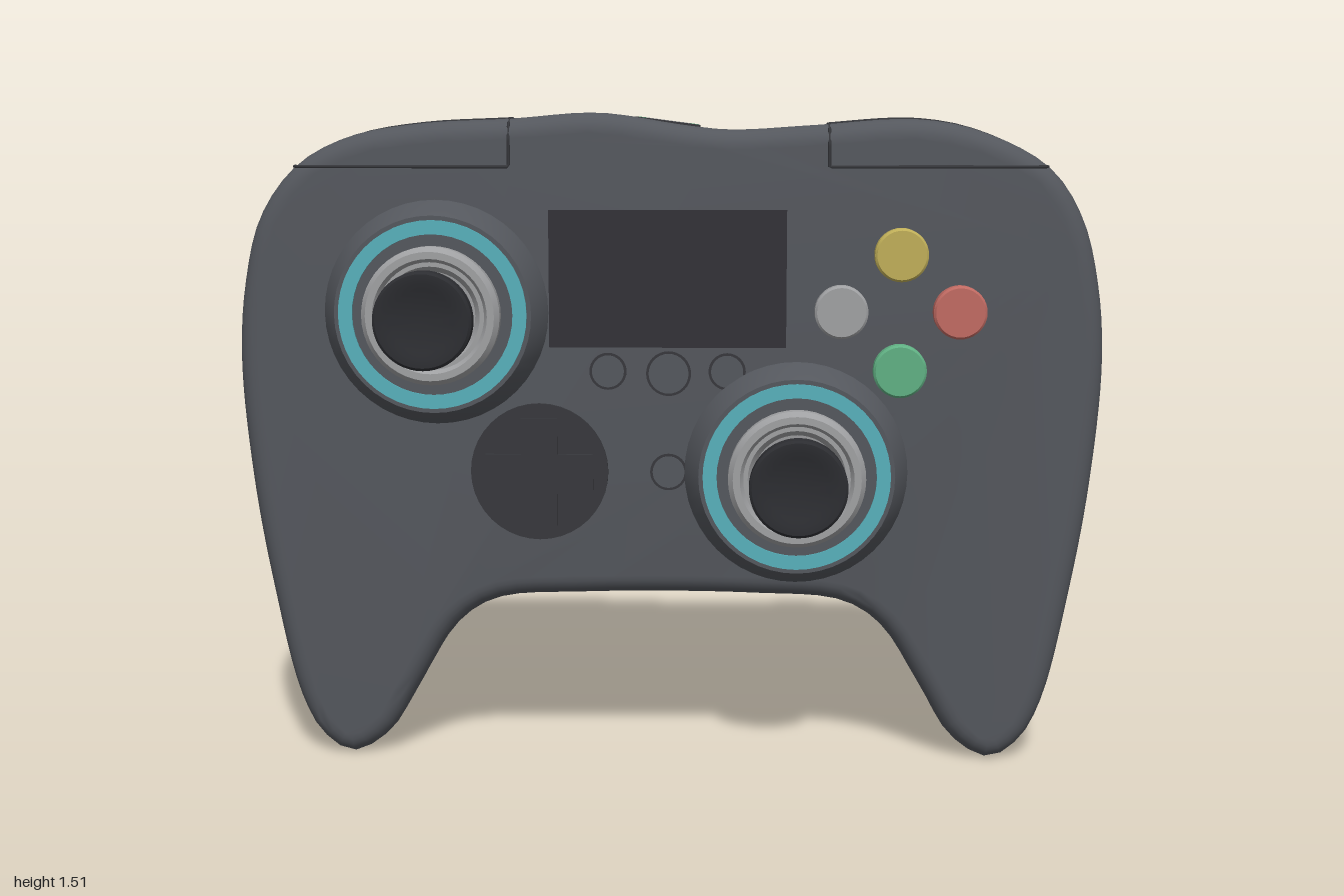
import * as THREE from 'three';
import { toCreasedNormals } from 'three/addons/utils/BufferGeometryUtils.js';

const mat = (name, color) => Object.assign(new THREE.MeshStandardMaterial({ color }), { name });

export function createModel() {
  const M = {
    body: mat('body grey', 0x54575d),
    dark: mat('dark pad', 0x37383c),
    screen: mat('screen', 0x333237),
    cap: mat('cap black', 0x2c2d31),
    grey: mat('light grey', 0x9fa0a2),
    teal: mat('teal', 0x57b0ba),
    yellow: mat('yellow', 0xbfae58),
    red: mat('red', 0xc06a62),
    green: mat('green', 0x60b083),
  };
  const model = new THREE.Group();
  model.name = 'gamepad';
  const add = (name, geo, material, x = 0, y = 0, z = 0, parent = model) => {
    const m = new THREE.Mesh(geo, material);
    m.name = name;
    m.position.set(x, y, z);
    parent.add(m);
    return m;
  };
  // round part whose axis runs along z, starting at its base
  const disc = (r, h, seg = 40) => new THREE.CylinderGeometry(r, r, h, seg).rotateX(Math.PI / 2).translate(0, 0, h / 2);
  const lathe = (pts, seg = 48) => toCreasedNormals(
    new THREE.LatheGeometry(pts.map(p => new THREE.Vector2(...p)), seg).rotateX(Math.PI / 2), 0.5);

  // ---- Body outline: wavy top edge, mirrored sides and handles
  const top = [[0.87, 1.39], [0.72, 1.47], [0.57, 1.5], [0.33, 1.487], [0.14, 1.477], [0.03, 1.488],
    [-0.16, 1.515], [-0.36, 1.502], [-0.58, 1.49], [-0.74, 1.46], [-0.86, 1.395]];
  const side = [[-0.945, 1.28], [-0.985, 1.13], [-1, 0.95], [-0.98, 0.67], [-0.94, 0.41], [-0.88, 0.14], [-0.83, 0.045],
    [-0.76, 0.001], [-0.67, 0.05], [-0.59, 0.18], [-0.5, 0.32], [-0.41, 0.378], [-0.2, 0.395]];
  const mirrored = side.map(([x, y]) => [-x, y]).reverse();
  const outline = new THREE.CatmullRomCurve3(
    [...top, ...side, ...mirrored].map(([x, y]) => new THREE.Vector3(x, y, 0)), true)
    .getSpacedPoints(160).slice(0, -1).map(p => new THREE.Vector2(p.x, p.y));

  const bevel = 0.045;
  const bodyGeo = new THREE.ExtrudeGeometry(new THREE.Shape(outline), {
    depth: 0.375 - 2 * bevel, bevelThickness: bevel, bevelSize: bevel, bevelOffset: -bevel, bevelSegments: 6,
  });
  add('body', toCreasedNormals(bodyGeo, 0.6), M.body, 0, 0, -0.16 + bevel);

  const inside = (x, y) => {
    let hit = false;
    outline.forEach((a, i) => {
      const b = outline[(i + 1) % outline.length];
      if ((a.y > y) !== (b.y > y) && x < (b.x - a.x) * (y - a.y) / (b.y - a.y) + a.x) hit = !hit;
    });
    return hit;
  };
  const topY = x => {
    let lo = 1.1, hi = 1.6;
    for (let i = 0; i < 20; i++) {
      const mid = (lo + hi) / 2;
      if (inside(x, mid)) lo = mid; else hi = mid;
    }
    return lo;
  };

  // ---- Rear grips: half ellipsoids trimmed to the outline
  const C = { x: 0.735, y: 0.385, z: -0.13 }, R = { x: 0.245, y: 0.41, z: 0.285 };
  for (const s of [1, -1]) {
    const geo = new THREE.SphereGeometry(1, 40, 16, 0, Math.PI * 2, 0, Math.PI / 2).rotateX(-Math.PI / 2);
    const p = geo.attributes.position;
    for (let i = 0; i < p.count; i++) {
      const dx = p.getX(i) * R.x, dy = p.getY(i) * R.y, rim = p.getZ(i) > -0.001;
      const at = k => [s * C.x + dx * k, C.y + dy * k];
      let k = 1;
      if (!inside(...at(1))) {
        let lo = 0;
        for (let n = 0; n < 18; n++) {
          const mid = (lo + k) / 2;
          if (inside(...at(mid))) lo = mid; else k = mid;
        }
      }
      p.setXYZ(i, ...at(k), rim ? 0 : C.z + p.getZ(i) * R.z);
    }
    add(s > 0 ? 'leftGrip' : 'rightGrip', toCreasedNormals(geo, 0.5), M.body);
  }

  // ---- Thumbsticks
  for (const [name, x, y] of [['upperStick', -0.535, 1.06], ['lowerStick', 0.295, 0.69]]) {
    const g = new THREE.Group();
    g.name = name;
    g.position.set(x, y, 0.2);
    model.add(g);
    add('stickCollar', lathe([[0.26, 0], [0.257, 0.025], [0.225, 0.08], [0.1, 0.08]]), M.body, 0, 0, 0, g);
    add('lightRing', lathe([[0.215, 0.076], [0.215, 0.085], [0.183, 0.085], [0.183, 0.076]]), M.teal, 0, 0, 0, g);
    add('stickCup', lathe([[0.147, 0.07], [0.157, 0.085], [0.157, 0.112], [0.146, 0.126], [0.13, 0.126],
      [0.122, 0.112], [0.112, 0.112], [0.1, 0.095], [0.06, 0.09], [0.05, 0.115], [0.03, 0.13]]), M.grey, 0, 0, 0, g);
    add('stickStem', disc(0.031, 0.11, 24), M.grey, 0, 0, 0.1, g);
    add('stickCap', lathe([[0, 0.195], [0.105, 0.195], [0.11, 0.2], [0.11, 0.235], [0.104, 0.24], [0.085, 0.24],
      [0.07, 0.234], [0, 0.23]]), M.cap, 0, 0, 0, g);
  }

  // ---- Screen, direction pad and buttons
  add('screen', new THREE.BoxGeometry(0.545, 0.315, 0.009), M.screen, -0.0025, 1.138, 0.215);
  add('padDisc', disc(0.16, 0.02), M.dark, -0.3, 0.69, 0.203);
  add('padArmAcross', new THREE.BoxGeometry(0.25, 0.084, 0.03), M.dark, -0.3, 0.69, 0.217);
  add('padArmUpright', new THREE.BoxGeometry(0.084, 0.25, 0.03), M.dark, -0.3, 0.69, 0.217);
  for (const [name, x, y, m] of [['topButton', 0.53, 1.195, M.yellow], ['outerButton', 0.665, 1.065, M.red],
    ['bottomButton', 0.53, 0.93, M.green], ['innerButton', 0.395, 1.065, M.grey]])
    add(name, lathe([[0.061, 0], [0.061, 0.043], [0.056, 0.048], [0, 0.048]], 36), m, x, y, 0.2);
  for (const [x, y, r] of [[-0.14, 0.925, 0.04], [0, 0.92, 0.049], [0.135, 0.925, 0.04], [0, 0.69, 0.04]]) {
    add('menuButtonGap', disc(r + 0.003, 0.012, 32), M.dark, x, y, 0.204);
    add('menuButton', disc(r - 0.003, 0.015, 32), M.body, x, y, 0.204);
  }

  // ---- Seams around the bumpers and triggers
  const seam = (name, pts) => {
    const path = new THREE.CurvePath();
    pts.forEach((a, i) => path.add(new THREE.LineCurve3(
      new THREE.Vector3(...a), new THREE.Vector3(...pts[(i + 1) % pts.length]))));
    add(name, new THREE.TubeGeometry(path, 200, 0.004, 5, true), M.dark);
  };
  const along = (s, x0, x1, z) => Array.from({ length: 13 }, (_, i) => {
    const x = s * (x0 + (x1 - x0) * i / 12);
    return [x, topY(x), z];
  });
  for (const s of [1, -1]) {
    const x = s * 0.365, t = topY(x);
    seam('bumperSeam', [...along(s, 0.365, 0.865, 0.1), [s * 0.865, 1.393, 0.17], [s * 0.855, 1.393, 0.2],
      [s * 0.82, 1.393, 0.215], [x, 1.393, 0.215], [x, t - 0.045, 0.215], [x, t - 0.013, 0.202], [x, t, 0.17]]);
    seam('triggerSeam', [...along(s, 0.415, 0.79, 0.07), ...along(s, 0.79, 0.415, -0.115)]);
  }

  // ---- Charging port on the top edge
  const port = new THREE.Group();
  port.name = 'chargingPort';
  port.position.set(-0.005, topY(-0.005), 0.083);
  port.rotation.z = -0.13;
  model.add(port);
  add('portOpening', new THREE.BoxGeometry(0.15, 0.008, 0.075), M.dark, 0, 0, 0, port);
  add('portSocket', new THREE.BoxGeometry(0.1, 0.008, 0.035), M.grey, 0, 0.001, 0.005, port);
  add('portBoard', new THREE.BoxGeometry(0.14, 0.008, 0.012), M.green, 0, 0.001, -0.026, port);

  // ---- Rear paddles and screw holes
  const hole = (x, y, z, normal) => {
    const h = add('screwHole', new THREE.CircleGeometry(0.022, 20), M.dark, x, y, z);
    h.lookAt(h.position.clone().add(normal));
  };
  const back = new THREE.Vector3(0, 0, -1);
  for (const s of [1, -1]) {
    add('upperPaddle', new THREE.BoxGeometry(0.13, 0.23, 0.036), M.grey, s * 0.672, 0.575, -0.383);
    add('lowerPaddle', new THREE.BoxGeometry(0.13, 0.23, 0.034), M.grey, s * 0.713, 0.317, -0.423);
    hole(s * 0.23, 1.41, -0.162, back);
    hole(s * 0.88, 1.03, -0.162, back);
    const dx = 0.095, dy = 0.185;
    const dz = -R.z * Math.sqrt(1 - (dx / R.x) ** 2 - (dy / R.y) ** 2);
    const n = new THREE.Vector3(s * dx / R.x ** 2, dy / R.y ** 2, dz / R.z ** 2).normalize();
    hole(s * (C.x + dx) + n.x * 0.003, C.y + dy + n.y * 0.003, C.z + dz + n.z * 0.003, n);
  }
  return model;
}
